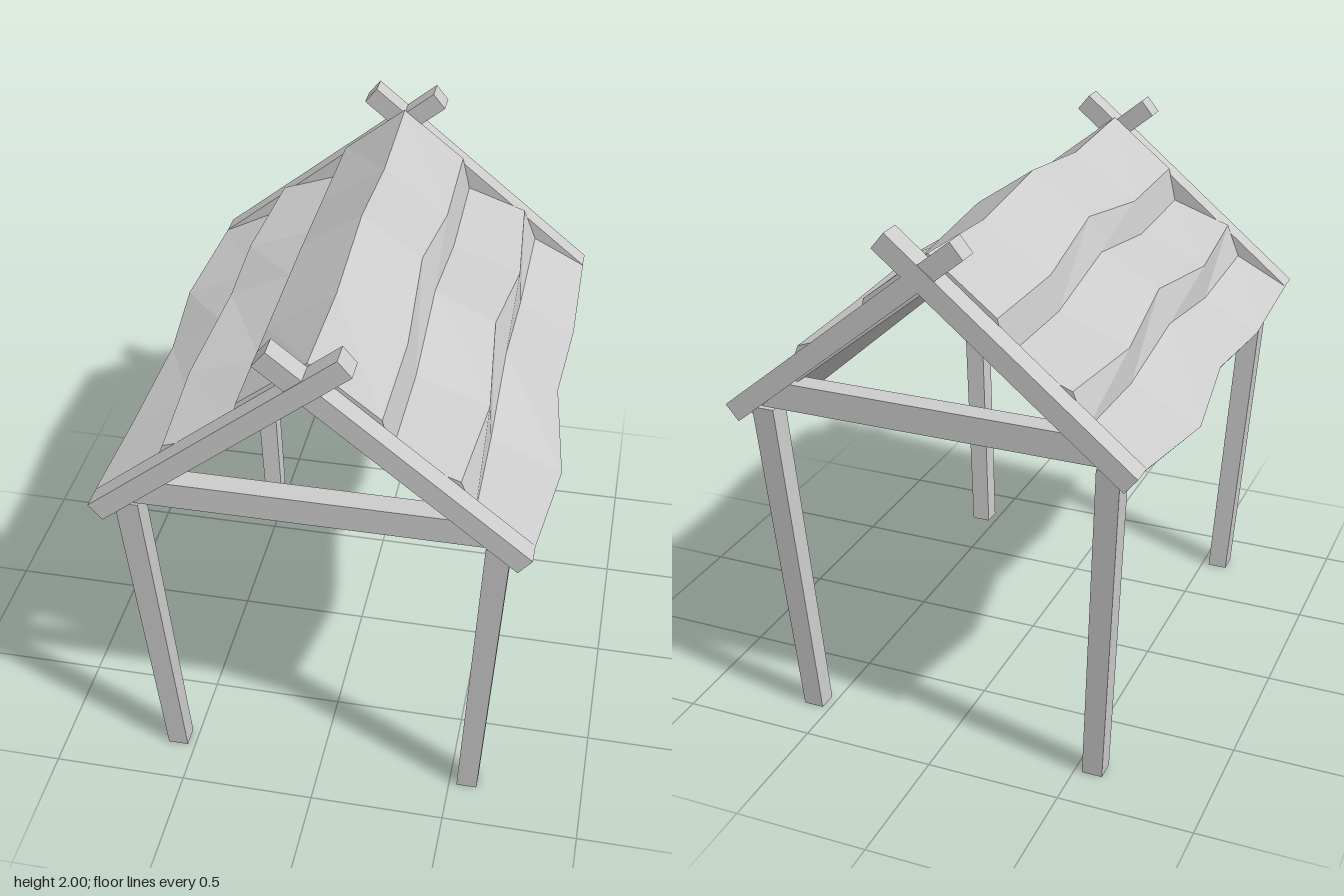
import * as THREE from 'three';

const material = new THREE.MeshStandardMaterial({ color: 0xcccccc, flatShading: true });

function add(group, name, geometry) {
  const mesh = new THREE.Mesh(geometry, material);
  mesh.name = name;
  group.add(mesh);
  return mesh;
}

// One slope of the roof at each station along z: eave underside, eave top,
// then foot and lip of two shingle steps, as [x, y]
const END = [[0.70, 1.235], [0.755, 1.295], [0.55, 1.40], [0.50, 1.525], [0.27, 1.605], [0.24, 1.735]];
const SAG_WIDE = [[0.68, 1.18], [0.80, 1.255], [0.545, 1.375], [0.535, 1.505], [0.275, 1.60], [0.245, 1.73]];
const SAG = [[0.67, 1.18], [0.76, 1.26], [0.545, 1.375], [0.535, 1.505], [0.275, 1.60], [0.245, 1.73]];
const MID = [[0.68, 1.215], [0.74, 1.29], [0.54, 1.43], [0.495, 1.56], [0.27, 1.67], [0.22, 1.80]];
const STATIONS = [
  { z: 0.89, right: END, left: END, ridge: 1.925, under: 1.80 },
  { z: 0.44, right: SAG_WIDE, left: SAG, ridge: 1.90, under: 1.77 },
  { z: 0, right: MID, left: MID, ridge: 1.95, under: 1.78 },
  { z: -0.44, right: SAG, left: SAG_WIDE, ridge: 1.90, under: 1.77 },
  { z: -0.89, right: END, left: END, ridge: 1.925, under: 1.80 },
];

// Closed, stepped roof shell lofted through the stations
function roofGeometry() {
  const rings = STATIONS.map(({ right, left, ridge, under }) => [
    ...right,
    [0, ridge],
    ...left.map(([x, y]) => [-x, y]).reverse(),
    [0, under],
  ]);
  const n = rings[0].length;
  const positions = [];
  const index = [];
  rings.forEach((ring, i) => ring.forEach(([x, y]) => positions.push(x, y, STATIONS[i].z)));
  for (let i = 0; i < rings.length - 1; i++) {
    for (let j = 0; j < n; j++) {
      const k = (j + 1) % n;
      const a = i * n + j, b = i * n + k, c = b + n, d = a + n;
      index.push(a, d, c, a, c, b);
    }
  }
  // End caps
  const outline = rings[0].map(([x, y]) => new THREE.Vector2(x, y));
  const last = (rings.length - 1) * n;
  for (const [a, b, c] of THREE.ShapeUtils.triangulateShape(outline, [])) {
    index.push(a, b, c, last + a, last + c, last + b);
  }
  const geometry = new THREE.BufferGeometry();
  geometry.setAttribute('position', new THREE.Float32BufferAttribute(positions, 3));
  geometry.setIndex(index);
  const flat = geometry.toNonIndexed();
  flat.computeVertexNormals();
  return flat;
}

// Square post leaning outward as it rises
function legGeometry(sx, sz) {
  const height = 1.28;
  const geometry = new THREE.BoxGeometry(0.076, height, 0.076).translate(0, height / 2, 0);
  const p = geometry.attributes.position;
  for (let i = 0; i < p.count; i++) {
    const t = p.getY(i) / height;
    const grow = 1 + 0.1 * t;
    p.setX(i, p.getX(i) * grow + sx * (0.567 + 0.07 * t));
    p.setZ(i, p.getZ(i) * grow + sz * (0.793 + 0.09 * t));
  }
  geometry.computeVertexNormals();
  return geometry;
}

// Tie beam with ends cut to the slope of the rafters
function beamGeometry() {
  const shape = new THREE.Shape([
    new THREE.Vector2(-0.64, 1.29),
    new THREE.Vector2(0.64, 1.29),
    new THREE.Vector2(0.53, 1.39),
    new THREE.Vector2(-0.53, 1.39),
  ]);
  return new THREE.ExtrudeGeometry(shape, { depth: 0.08, bevelEnabled: false }).translate(0, 0, -0.04);
}

export function createModel() {
  const model = new THREE.Group();
  model.name = 'openShelter';

  add(model, 'roof', roofGeometry());

  for (const sz of [1, -1]) {
    const end = sz > 0 ? 'front' : 'back';

    add(model, end + 'TieBeam', beamGeometry()).position.z = sz * 0.885;

    for (const sx of [1, -1]) {
      const side = sx > 0 ? 'Left' : 'Right';
      add(model, end + side + 'Leg', legGeometry(sx, sz));

      // Crossed rafters, one a touch thicker so their faces stay apart
      const depth = sx > 0 ? 0.08 : 0.086;
      const rafter = add(model, end + side + 'Rafter', new THREE.BoxGeometry(1.12, 0.074, depth));
      rafter.position.set(sx * 0.297, 1.621, sz * 0.93);
      rafter.rotation.z = -sx * 0.684;
    }
  }
  return model;
}
